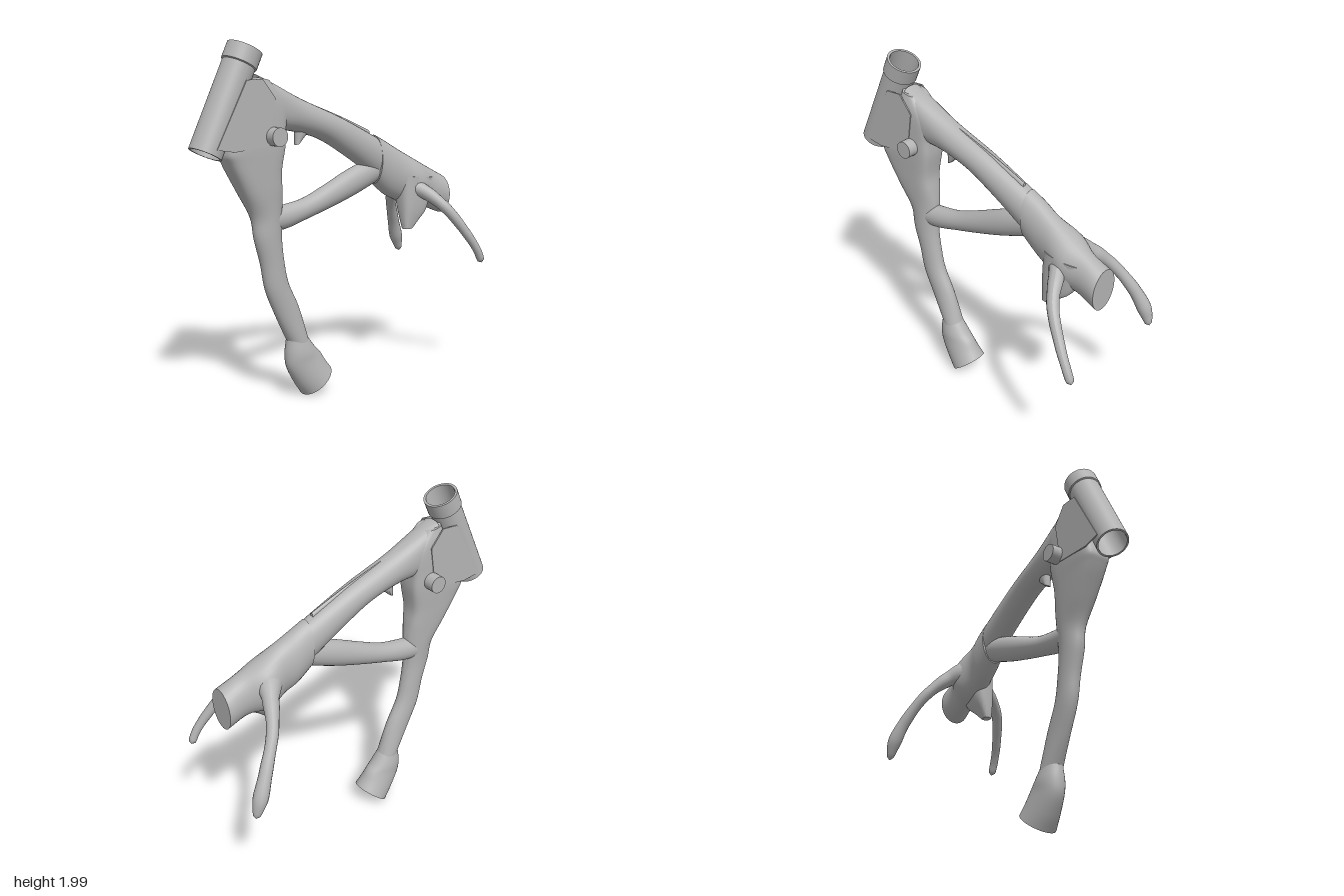
import * as THREE from 'three';
import { toCreasedNormals } from 'three/addons/utils/BufferGeometryUtils.js';

const CX = 0.01; // frame centre line

// Capped skin over sections [zA, yA, zB, yB, halfWidth, centreX, squareness]
function loft(sections, steps = 5, n = 32) {
  const spline = f => new THREE.CatmullRomCurve3(sections.map(f), false, 'catmullrom', 0.5);
  const edgeA = spline(s => new THREE.Vector3(s[5] ?? CX, s[1], s[0]));
  const edgeB = spline(s => new THREE.Vector3(s[5] ?? CX, s[3], s[2]));
  const shape = spline(s => new THREE.Vector3(s[4], s[6] ?? 2, 0));
  const rows = (sections.length - 1) * steps;
  const centre = t => edgeA.getPoint(t).add(edgeB.getPoint(t)).multiplyScalar(0.5);
  const along = centre(1).sub(centre(0));
  const across = edgeA.getPoint(0).sub(edgeB.getPoint(0));
  const side = Math.sign(across.cross(new THREE.Vector3(1, 0, 0)).dot(along));
  const pos = [], idx = [];
  const power = (v, e) => Math.sign(v) * Math.pow(Math.abs(v), 2 / e);
  for (let i = 0; i <= rows; i++) {
    const t = i / rows, c = centre(t), u = edgeA.getPoint(t).sub(c), s = shape.getPoint(t);
    for (let j = 0; j < n; j++) {
      const a = j / n * Math.PI * 2;
      const p = c.clone().addScaledVector(u, power(Math.cos(a), s.y));
      pos.push(p.x + side * s.x * power(Math.sin(a), s.y), p.y, p.z);
    }
  }
  for (let i = 0; i < rows; i++) for (let j = 0; j < n; j++) {
    const a = i * n + j, b = i * n + (j + 1) % n;
    idx.push(a, b, b + n, a, b + n, a + n);
  }
  const first = pos.length / 3;
  pos.push(...centre(0).toArray(), ...centre(1).toArray());
  for (let j = 0; j < n; j++) {
    const k = (j + 1) % n, end = rows * n;
    idx.push(first, k, j, first + 1, end + j, end + k);
  }
  const g = new THREE.BufferGeometry();
  g.setAttribute('position', new THREE.Float32BufferAttribute(pos, 3));
  g.setIndex(idx);
  return toCreasedNormals(g, 0.8);
}

// Tube whose radius follows a list of values, closed at the tip
function taperedTube(points, radii) {
  const curve = new THREE.CatmullRomCurve3(points.map(p => new THREE.Vector3(...p)));
  const rows = 40, sides = 16;
  const g = new THREE.TubeGeometry(curve, rows, 1, sides);
  const p = g.attributes.position, v = new THREE.Vector3();
  for (let i = 0; i <= rows; i++) {
    const c = curve.getPointAt(i / rows);
    const f = i / rows * (radii.length - 1), k = Math.min(Math.floor(f), radii.length - 2);
    let r = THREE.MathUtils.lerp(radii[k], radii[k + 1], THREE.MathUtils.smoothstep(f - k, 0, 1));
    if (i === rows - 1) r *= 0.9;
    if (i === rows) r = 0.001;
    for (let j = 0; j <= sides; j++) {
      const m = i * (sides + 1) + j;
      v.fromBufferAttribute(p, m).sub(c).multiplyScalar(r).add(c);
      p.setXYZ(m, v.x, v.y, v.z);
    }
  }
  g.computeVertexNormals();
  return g;
}

export function createModel() {
  const group = new THREE.Group();
  const grey = new THREE.MeshStandardMaterial({ color: 0xb4b4b4 });
  grey.name = 'plain grey';
  const add = (name, geometry) => {
    const mesh = new THREE.Mesh(geometry, grey);
    mesh.name = name;
    group.add(mesh);
    return mesh;
  };

  // Hollow head tube with a collar at the top
  const profile = [[0.08, 0], [0.09, 0], [0.09, 0.5], [0.097, 0.505], [0.097, 0.594],
    [0.083, 0.594], [0.08, 0.5], [0.08, 0]].map(p => new THREE.Vector2(...p));
  const head = add('headTube', toCreasedNormals(new THREE.LatheGeometry(profile, 48), 0.5));
  head.position.set(CX, 1.42, 0.84);
  head.rotation.x = -0.443;

  // Gusset running into the down tube
  add('gussetAndDownTube', loft([
    [0.565, 1.81, 0.46, 1.79, 0.07, CX, 3],
    [0.585, 1.755, 0.36, 1.66, 0.088, CX, 4],
    [0.67, 1.58, 0.365, 1.54, 0.09, CX, 5],
    [0.73, 1.43, 0.367, 1.45, 0.09, CX, 5],
    [0.715, 1.36, 0.385, 1.315, 0.085, CX, 4],
    [0.635, 1.21, 0.375, 1.21, 0.078, CX, 3],
    [0.56, 1.065, 0.365, 1.10, 0.068],
    [0.54, 0.945, 0.37, 0.945, 0.06, 0.014],
    [0.50, 0.80, 0.355, 0.81, 0.055, 0.014],
    [0.47, 0.65, 0.325, 0.68, 0.053, 0.014],
    [0.40, 0.49, 0.255, 0.535, 0.053, 0.014],
    [0.315, 0.325, 0.19, 0.335, 0.06, 0.014],
  ]));

  // Flared socket at the lower end
  add('lowerSocket', loft([
    [0.325, 0.35, 0.195, 0.35, 0.055, 0.014],
    [0.335, 0.26, 0.145, 0.285, 0.072, 0.014],
    [0.325, 0.18, 0.105, 0.245, 0.076, 0.014],
    [0.27, 0.08, 0.073, 0.195, 0.088, 0.014],
    [0.217, 0.005, 0.037, 0.148, 0.1, 0.014],
  ]));

  // Thin side plates wrapping the head tube
  const plate = new THREE.Shape([[-0.64, 1.795], [-0.826, 1.447], [-0.72, 1.43], [-0.5, 1.45],
    [-0.46, 1.7], [-0.54, 1.8]].map(p => new THREE.Vector2(...p)));
  for (const x of [CX - 0.094, CX + 0.086]) {
    const side = add('headPlate', new THREE.ExtrudeGeometry(plate, { depth: 0.008, bevelEnabled: false }));
    side.rotation.y = Math.PI / 2;
    side.position.x = x;
  }

  // Cross peg through the gusset
  const peg = add('crossPeg', new THREE.CylinderGeometry(0.05, 0.05, 0.305, 32));
  peg.rotation.z = Math.PI / 2;
  peg.position.set(0.0075, 1.5, 0.472);

  // Curved top tube
  add('topTube', loft([
    [0.54, 1.825, 0.49, 1.56, 0.082, CX, 3],
    [0.43, 1.78, 0.37, 1.53, 0.085, CX, 2.5],
    [0.24, 1.695, 0.26, 1.51, 0.082],
    [-0.02, 1.595, 0.095, 1.465, 0.08],
    [-0.18, 1.525, -0.075, 1.375, 0.08],
    [-0.34, 1.45, -0.26, 1.26, 0.08],
    [-0.45, 1.39, -0.36, 1.19, 0.075],
  ]));

  // Narrow ridge on top of the top tube
  add('topRidge', loft([
    [0.18, 1.672, 0.18, 1.64, 0.006],
    [-0.02, 1.602, -0.02, 1.56, 0.008],
    [-0.16, 1.548, -0.16, 1.49, 0.012],
    [-0.28, 1.498, -0.28, 1.44, 0.012],
  ], 4, 12));

  // Small fin below the top tube
  add('lowerFin', loft([
    [0.265, 1.53, 0.18, 1.5, 0.03],
    [0.262, 1.44, 0.235, 1.45, 0.02],
  ], 2, 16));

  // Diagonal strut
  add('strut', loft([
    [0.43, 1.11, 0.43, 0.975, 0.058],
    [0.32, 1.12, 0.33, 0.985, 0.058],
    [0.19, 1.145, 0.20, 1.02, 0.056],
    [0.03, 1.21, 0.02, 1.07, 0.058],
    [-0.13, 1.28, -0.155, 1.125, 0.06],
    [-0.31, 1.34, -0.35, 1.20, 0.06],
  ]));

  // Swollen tail with a flat end
  add('tail', loft([
    [-0.32, 1.47, -0.32, 1.18, 0.083, CX],
    [-0.40, 1.43, -0.41, 1.11, 0.088, 0.012],
    [-0.49, 1.38, -0.49, 1.07, 0.092, 0.02],
    [-0.62, 1.315, -0.60, 1.02, 0.122, 0.02],
    [-0.735, 1.255, -0.71, 1.01, 0.088, 0.04],
    [-0.842, 1.203, -0.842, 0.965, 0.098, 0.045],
  ]));

  // Lug hanging under the tail
  add('tailLug', loft([
    [-0.48, 1.22, -0.74, 1.2, 0.085, 0.05, 3],
    [-0.485, 1.05, -0.68, 1.02, 0.065, 0.07, 3],
    [-0.49, 0.95, -0.61, 0.95, 0.04, 0.085, 3],
    [-0.495, 0.9, -0.555, 0.9, 0.025, 0.092, 3],
  ]));

  // Side arms sweeping down and back
  add('leftArm', taperedTube([[0.06, 1.15, -0.57], [0.14, 1.125, -0.61], [0.26, 1.03, -0.68],
    [0.335, 0.87, -0.79], [0.362, 0.76, -0.86], [0.365, 0.685, -0.895]],
  [0.06, 0.042, 0.034, 0.031, 0.028, 0.025, 0.023]));
  add('rightArm', taperedTube([[-0.03, 1.2, -0.59], [-0.11, 1.165, -0.63], [-0.235, 1.05, -0.70],
    [-0.32, 0.89, -0.80], [-0.358, 0.76, -0.865], [-0.367, 0.65, -0.905]],
  [0.075, 0.045, 0.034, 0.032, 0.036, 0.042, 0.022]));

  return group;
}
